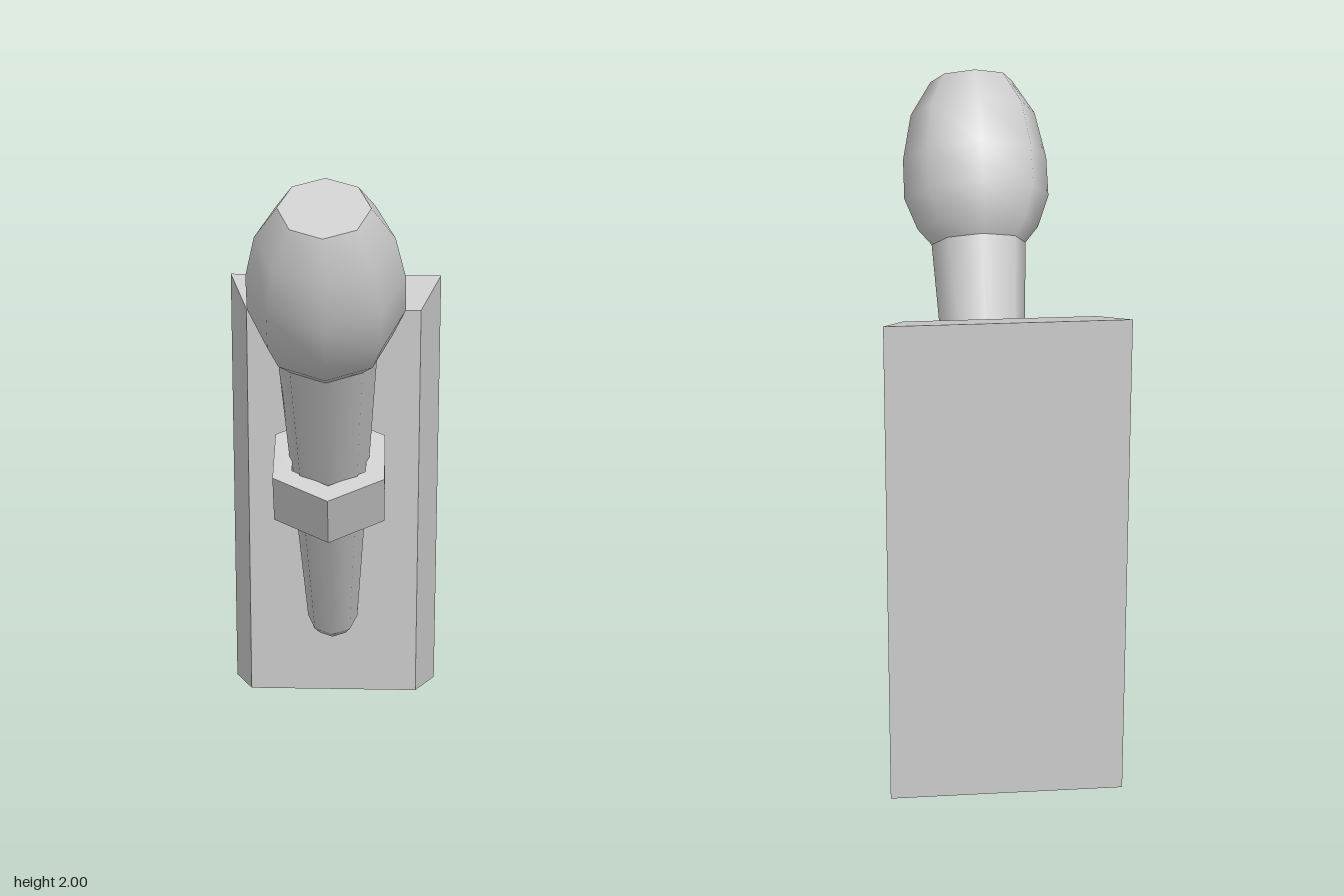
import * as THREE from 'three';

const stone = new THREE.MeshStandardMaterial({ color: 0xcccccc });
stone.name = 'lightGrey';

function add(parent, name, geometry) {
  const mesh = new THREE.Mesh(geometry, stone);
  mesh.name = name;
  parent.add(mesh);
  return mesh;
}

// Eight-sided turned form; points are [radius, height] from bottom to top
const turned = (points) =>
  new THREE.LatheGeometry(points.map(([r, y]) => new THREE.Vector2(r, y)), 8);

// Box whose corners are placed by a rule on the corner signs
function shapedBox(rule) {
  const geometry = new THREE.BoxGeometry(2, 2, 2);
  const p = geometry.attributes.position;
  for (let i = 0; i < p.count; i++) {
    p.setXYZ(i, ...rule(p.getX(i), p.getY(i), p.getZ(i)));
  }
  geometry.computeVertexNormals();
  return geometry;
}

function hexagon(PathType, radius) {
  const points = [];
  for (let i = 0; i < 6; i++) {
    const a = Math.PI / 2 + (i * Math.PI) / 3;
    points.push(new THREE.Vector2(radius * Math.cos(a), radius * Math.sin(a)));
  }
  return new PathType(points);
}

export function createModel() {
  const model = new THREE.Group();
  model.name = 'wallTorch';

  // Wall plate with bevelled sides
  add(model, 'wallPlate', shapedBox((x, y, z) => z > 0
    ? [x * 0.28, 0.7325 + y * 0.6725, -0.38]
    : [x * 0.347, 0.73 + y * 0.73, -0.61]));

  // Arm dropping slightly from the plate to the ring
  add(model, 'arm', shapedBox((x, y, z) => z > 0
    ? [x * 0.064, 1.043 + y * 0.068, y > 0 ? -0.115 : -0.145]
    : [x * 0.064, 1.072 + y * 0.068, -0.38]));

  // Hexagonal holder ring
  const outline = hexagon(THREE.Shape, 0.197);
  outline.holes.push(hexagon(THREE.Path, 0.13));
  const ringGeometry = new THREE.ExtrudeGeometry(outline, { depth: 0.178, bevelEnabled: false });
  ringGeometry.translate(0, 0, -0.089).rotateX(-Math.PI / 2);
  const ring = add(model, 'holderRing', ringGeometry);
  ring.position.set(0, 0.975, 0.005);
  ring.rotation.x = 0.41;

  // Leaning torch, with its origin where the handle meets the head
  const torch = new THREE.Group();
  torch.name = 'torch';
  torch.position.set(0, 1.468, 0.246);
  torch.rotation.x = Math.atan(0.5);
  model.add(torch);

  add(torch, 'handle', turned([[0.082, -1.228], [0.148, 0]]));
  add(torch, 'handleTip', turned([[0.06, -1.267], [0.082, -1.228]]));
  add(torch, 'handleEnd', new THREE.CircleGeometry(0.06, 8).rotateX(Math.PI / 2))
    .position.y = -1.267;

  add(torch, 'head', turned([
    [0.148, 0], [0.19, 0.05], [0.228, 0.149], [0.227, 0.275], [0.197, 0.419], [0.13, 0.525],
  ]));
  add(torch, 'headTop', new THREE.CircleGeometry(0.13, 8).rotateX(-Math.PI / 2))
    .position.y = 0.525;

  return model;
}
